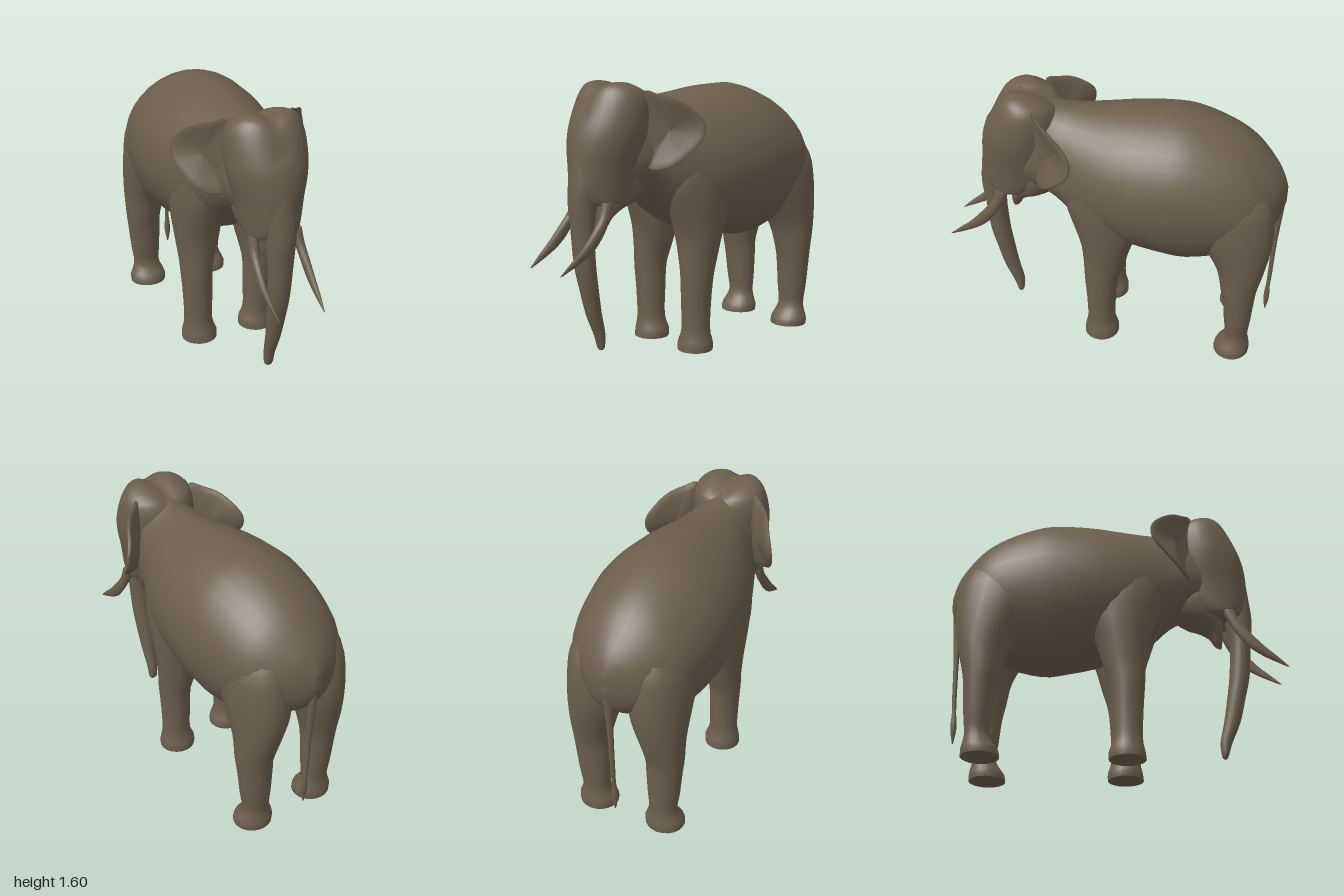
import * as THREE from 'three';

const hide = new THREE.MeshStandardMaterial({ color: 0x6c5e4c });
hide.name = 'hide brown';

// Smoothly fills in extra rows between the given ones
function resample(rows, steps) {
  const out = [];
  for (let i = 0; i < rows.length - 1; i++) {
    const a = rows[Math.max(i - 1, 0)], b = rows[i], c = rows[i + 1], d = rows[Math.min(i + 2, rows.length - 1)];
    for (let k = 0; k < steps; k++) {
      const t = k / steps;
      out.push(b.map((v, j) => {
        const m0 = (c[j] - a[j]) / 2, m1 = (d[j] - v) / 2, e = c[j] - v;
        return v + t * (m0 + t * (3 * e - 2 * m0 - m1 + t * (m0 + m1 - 2 * e)));
      }));
    }
  }
  out.push(rows[rows.length - 1]);
  return out;
}

// Closed skin over a list of rings, with flat caps; winding always ends up outward
function loft(rings) {
  const n = rings[0].length, pos = [], idx = [];
  rings.forEach(r => r.forEach(p => pos.push(...p)));
  for (let i = 0; i < rings.length - 1; i++) {
    for (let j = 0; j < n; j++) {
      const a = i * n + j, b = i * n + (j + 1) % n;
      idx.push(a, b, a + n, b, b + n, a + n);
    }
  }
  [rings[0], rings[rings.length - 1]].forEach((r, end) => {
    const base = pos.length / 3;
    r.forEach(p => pos.push(...p));
    pos.push(...[0, 1, 2].map(k => r.reduce((s, p) => s + p[k], 0) / n));
    for (let j = 0; j < n; j++) {
      const a = base + j, b = base + (j + 1) % n;
      if (end) idx.push(a, b, base + n); else idx.push(b, a, base + n);
    }
  });
  const v = i => new THREE.Vector3().fromArray(pos, i * 3);
  let volume = 0;
  for (let i = 0; i < idx.length; i += 3) volume += v(idx[i]).dot(v(idx[i + 1]).cross(v(idx[i + 2])));
  if (volume < 0) idx.reverse();
  const g = new THREE.BufferGeometry();
  g.setAttribute('position', new THREE.Float32BufferAttribute(pos, 3));
  g.setIndex(idx);
  g.computeVertexNormals();
  return g;
}

// Upright form from rows of [y, xMin, xMax, zMin, zMax]
function column(rows, side = 1, n = 20, shape = p => p) {
  return loft(resample(rows, 3).map(([y, x0, x1, z0, z1]) => Array.from({ length: n }, (_, j) => {
    const t = j / n * Math.PI * 2;
    return shape([
      side * ((x0 + x1) / 2 + (x1 - x0) / 2 * Math.cos(t)),
      y,
      (z0 + z1) / 2 + (z1 - z0) / 2 * Math.sin(t)]);
  })));
}

// Same, centred on x = 0, from rows of [y, halfWidth, zMin, zMax]
const centred = (rows, n, shape) => column(rows.map(([y, w, a, b]) => [y, -w, w, a, b]), 1, n, shape);

// Barrel of the body and neck, rows of [z, top, widest, bottom, halfWidth]; slightly ridged along the spine
function bodyGeometry() {
  const rows = [
    [-0.995, 1.10, 1.05, 1.00, 0.02], [-0.97, 1.17, 1.04, 0.91, 0.09], [-0.92, 1.25, 1.04, 0.84, 0.19],
    [-0.80, 1.38, 1.05, 0.75, 0.315], [-0.65, 1.475, 1.07, 0.66, 0.372], [-0.45, 1.545, 1.10, 0.61, 0.405],
    [-0.30, 1.555, 1.10, 0.63, 0.41], [-0.12, 1.545, 1.10, 0.67, 0.395], [0.05, 1.525, 1.10, 0.72, 0.355],
    [0.20, 1.515, 1.12, 0.81, 0.295], [0.32, 1.525, 1.15, 0.92, 0.24], [0.42, 1.55, 1.20, 0.97, 0.215],
    [0.52, 1.53, 1.20, 1.00, 0.18], [0.60, 1.45, 1.20, 1.05, 0.10]];
  return loft(resample(rows, 3).map(([z, top, mid, bot, w]) => Array.from({ length: 32 }, (_, j) => {
    const t = j / 32 * Math.PI * 2, s = Math.sin(t), c = Math.cos(t);
    const x = w * Math.sign(c) * Math.abs(c) ** (s > 0 ? 1.1 : 0.95);
    return [x, mid + s * (s > 0 ? top - mid : mid - bot), z];
  })));
}

// Thin dished ear: rings from the middle of the front, over the rim, to the middle of the back
function earGeometry(side) {
  const rim = new THREE.CatmullRomCurve3([
    [0.19, 1.56, 0.44], [0.25, 1.54, 0.395], [0.32, 1.51, 0.32], [0.37, 1.45, 0.235], [0.405, 1.38, 0.19],
    [0.41, 1.30, 0.20], [0.38, 1.22, 0.27], [0.33, 1.15, 0.35], [0.25, 1.12, 0.405], [0.19, 1.13, 0.43],
    [0.17, 1.25, 0.45], [0.17, 1.42, 0.45]].map(p => new THREE.Vector3(...p)), true).getPoints(32).slice(0, 32);
  const mid = new THREE.Vector3(0.285, 1.34, 0.345), out = new THREE.Vector3(0.74, 0, 0.67);
  const layers = [[0.05, -0.008], [0.45, -0.006], [0.8, 0.004], [0.96, 0.008], [1, 0],
    [0.96, -0.012], [0.8, -0.02], [0.45, -0.028], [0.05, -0.03]];
  return loft(layers.map(([k, off]) => rim.map(p => {
    const q = mid.clone().lerp(p, k).addScaledVector(out, off);
    return [side * q.x, q.y, q.z];
  })));
}

export function createModel() {
  const model = new THREE.Group();
  model.name = 'elephant';
  const add = (name, geometry) => {
    const mesh = new THREE.Mesh(geometry, hide);
    mesh.name = name;
    model.add(mesh);
  };

  add('body', bodyGeometry());

  // Head with a cleft between its two domes
  add('head', centred([
    [0.935, 0.11, 0.54, 0.71], [0.95, 0.15, 0.48, 0.75], [0.99, 0.162, 0.42, 0.775], [1.05, 0.172, 0.37, 0.79],
    [1.15, 0.19, 0.34, 0.79], [1.25, 0.215, 0.32, 0.785], [1.35, 0.23, 0.31, 0.765], [1.46, 0.228, 0.31, 0.72],
    [1.54, 0.207, 0.34, 0.68], [1.585, 0.165, 0.42, 0.645], [1.604, 0.115, 0.48, 0.60], [1.608, 0.03, 0.53, 0.57]], 32,
  ([x, y, z]) => [x, y - (y > 1.4 ? 0.03 * Math.exp(-((x / 0.05) ** 2)) : 0), z]));

  add('lowerJaw', centred([
    [0.77, 0.008, 0.61, 0.625], [0.80, 0.045, 0.58, 0.63], [0.85, 0.07, 0.55, 0.635], [0.90, 0.10, 0.48, 0.637],
    [0.95, 0.135, 0.36, 0.64], [1.05, 0.16, 0.30, 0.64], [1.15, 0.15, 0.32, 0.62]], 20));

  add('trunk', centred([
    [0.08, 0.015, 0.61, 0.63], [0.10, 0.028, 0.60, 0.64], [0.18, 0.033, 0.595, 0.665], [0.30, 0.042, 0.62, 0.715],
    [0.45, 0.055, 0.645, 0.752], [0.60, 0.065, 0.665, 0.785], [0.80, 0.075, 0.675, 0.80], [0.95, 0.085, 0.65, 0.815],
    [1.10, 0.095, 0.64, 0.80], [1.25, 0.07, 0.66, 0.785]], 20));

  // Tail with a small tuft
  add('tail', centred([
    [0.16, 0.004, -0.945, -0.938], [0.25, 0.02, -0.96, -0.925], [0.35, 0.012, -0.957, -0.932],
    [0.45, 0.014, -0.962, -0.935], [0.70, 0.018, -0.97, -0.937], [0.95, 0.028, -0.988, -0.93],
    [1.08, 0.035, -0.99, -0.92]], 10));

  for (const [label, side] of [['left', 1], ['right', -1]]) {
    add(label + 'FrontLeg', column([
      [0.005, 0.085, 0.30, -0.05, 0.16], [0.05, 0.085, 0.30, -0.05, 0.155], [0.13, 0.112, 0.285, -0.03, 0.14],
      [0.30, 0.11, 0.29, -0.035, 0.145], [0.45, 0.11, 0.30, -0.05, 0.155], [0.55, 0.095, 0.305, -0.08, 0.16],
      [0.70, 0.06, 0.322, -0.125, 0.175], [0.85, 0.04, 0.338, -0.18, 0.22], [1.00, 0.04, 0.345, -0.21, 0.26],
      [1.15, 0.06, 0.325, -0.18, 0.24], [1.30, 0.10, 0.25, -0.05, 0.15]], side));

    add(label + 'HindLeg', column([
      [0.005, 0.105, 0.335, -0.865, -0.65], [0.05, 0.105, 0.335, -0.865, -0.66], [0.13, 0.135, 0.305, -0.85, -0.71],
      [0.25, 0.13, 0.32, -0.86, -0.70], [0.40, 0.125, 0.335, -0.87, -0.685], [0.50, 0.12, 0.345, -0.88, -0.665],
      [0.65, 0.08, 0.352, -0.915, -0.63], [0.80, 0.03, 0.36, -0.94, -0.54], [0.95, 0.02, 0.362, -0.94, -0.45],
      [1.10, 0.04, 0.34, -0.91, -0.44], [1.25, 0.08, 0.25, -0.82, -0.55]], side));

    add(label + 'Tusk', column([
      [0.60, 0.134, 0.138, 0.985, 1.00], [0.66, 0.13, 0.155, 0.855, 0.935], [0.72, 0.128, 0.165, 0.765, 0.865],
      [0.80, 0.122, 0.168, 0.70, 0.79], [0.88, 0.11, 0.165, 0.655, 0.725], [0.96, 0.10, 0.16, 0.62, 0.70]], side, 12));

    add(label + 'Ear', earGeometry(side));
  }
  return model;
}
